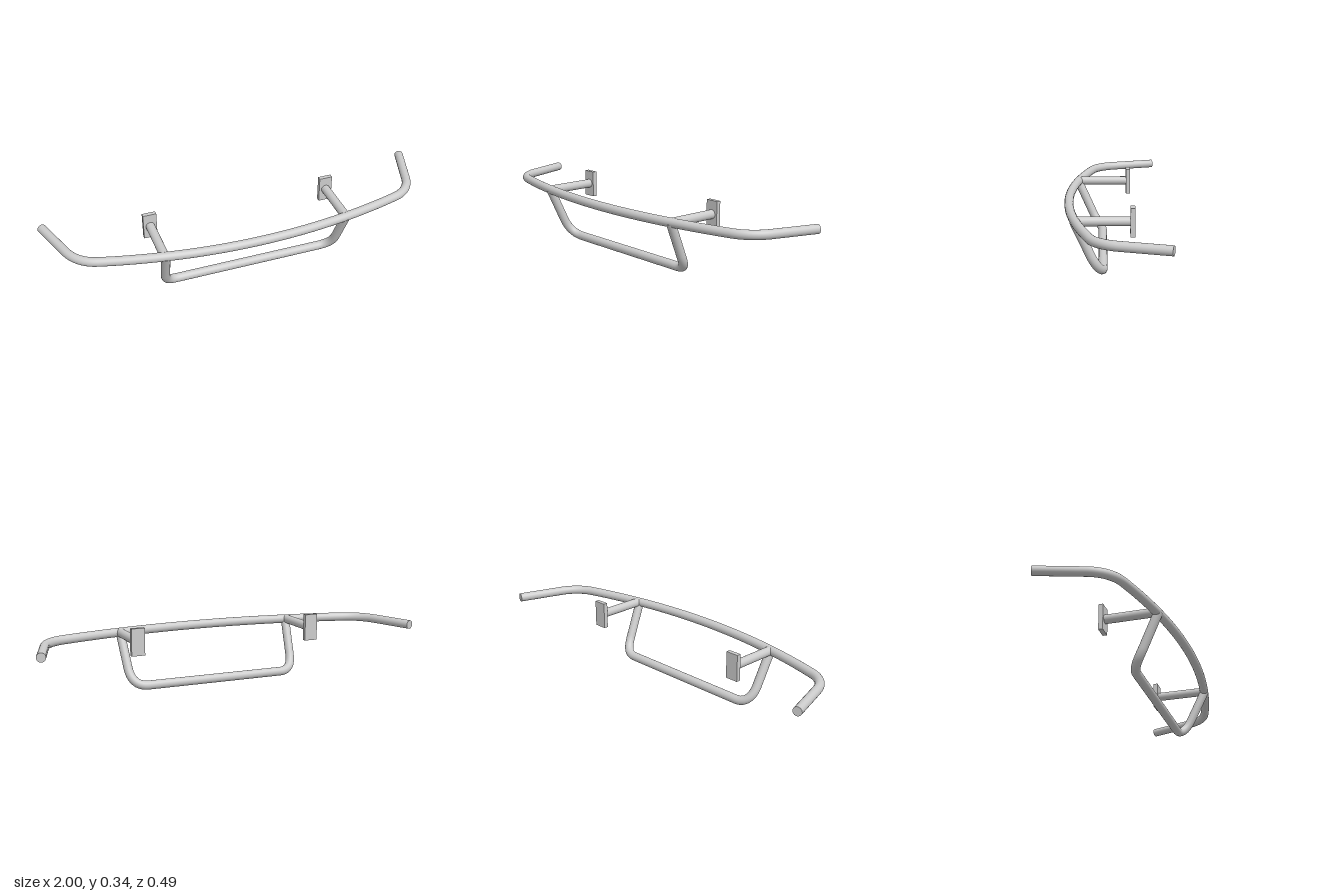
import * as THREE from 'three';

const R = 0.0225;      // tube radius
const BAR_Y = 0.277;   // height of the main bar
const material = new THREE.MeshStandardMaterial({ color: 0xcccccc });
const v = (x, y, z) => new THREE.Vector3(x, y, z);

function addMesh(parent, name, geometry) {
  const mesh = new THREE.Mesh(geometry, material);
  mesh.name = name;
  parent.add(mesh);
  return mesh;
}

// Round pipe along a path, closed with a disc at each end
function pipe(name, points, radius = R) {
  const group = new THREE.Group();
  group.name = name;
  const path = new THREE.CurvePath();
  points.forEach((p) => path.add(p));
  addMesh(group, name + 'Tube', new THREE.TubeGeometry(path, 120, radius, 20));
  for (const t of [0, 1]) {
    const cap = addMesh(group, name + 'Cap', new THREE.CircleGeometry(radius, 20));
    const outward = path.getTangentAt(t).multiplyScalar(t ? 1 : -1);
    cap.position.copy(path.getPointAt(t));
    cap.quaternion.setFromUnitVectors(v(0, 0, 1), outward);
  }
  return group;
}

// Adds the x-mirrored curves in reverse, so the path runs from -x to +x
function symmetric(middle, half) {
  const flip = (p) => v(-p.x, p.y, p.z);
  const mirrored = half.map((c) => c instanceof THREE.LineCurve3
    ? new THREE.LineCurve3(flip(c.v2), flip(c.v1))
    : new THREE.CubicBezierCurve3(flip(c.v3), flip(c.v2), flip(c.v1), flip(c.v0)));
  return [...mirrored.reverse(), middle, ...half];
}

export function createModel() {
  const model = new THREE.Group();
  model.name = 'bumperBar';

  // Main bar: shallow bow, rounded corners and swept-back ends
  const bow = new THREE.QuadraticBezierCurve3(
    v(-0.78, BAR_Y, 0.112), v(0, BAR_Y, 0.334), v(0.78, BAR_Y, 0.112));
  const corner = new THREE.CubicBezierCurve3(
    v(0.78, BAR_Y, 0.112), v(0.838, BAR_Y, 0.0955), v(0.884, BAR_Y, 0.05), v(0.904, BAR_Y, -0.012));
  const sweep = new THREE.LineCurve3(v(0.904, BAR_Y, -0.012), v(0.977, BAR_Y, -0.238));
  model.add(pipe('mainBar', symmetric(bow, [corner, sweep])));

  // Lower hoop: straight bottom, rounded corners and legs leaning forward
  const bottom = new THREE.LineCurve3(v(-0.37, R, 0.054), v(0.37, R, 0.054));
  const bend = new THREE.CubicBezierCurve3(
    v(0.37, R, 0.054), v(0.425, R, 0.054), v(0.451, 0.05, 0.083), v(0.455, 0.105, 0.109));
  const leg = new THREE.LineCurve3(v(0.455, 0.105, 0.109), v(0.467, BAR_Y, 0.187));
  model.add(pipe('lowerHoop', symmetric(bottom, [bend, leg])));

  // Mounting arms with flat plates behind the bar
  for (const [side, x] of [['left', 0.47], ['right', -0.47]]) {
    const arm = new THREE.LineCurve3(v(x, BAR_Y, -0.075), v(x, BAR_Y, 0.177));
    model.add(pipe(side + 'MountArm', [arm]));
    addMesh(model, side + 'MountPlate', new THREE.BoxGeometry(0.068, 0.134, 0.022))
      .position.set(x, BAR_Y, -0.084);
  }
  return model;
}
